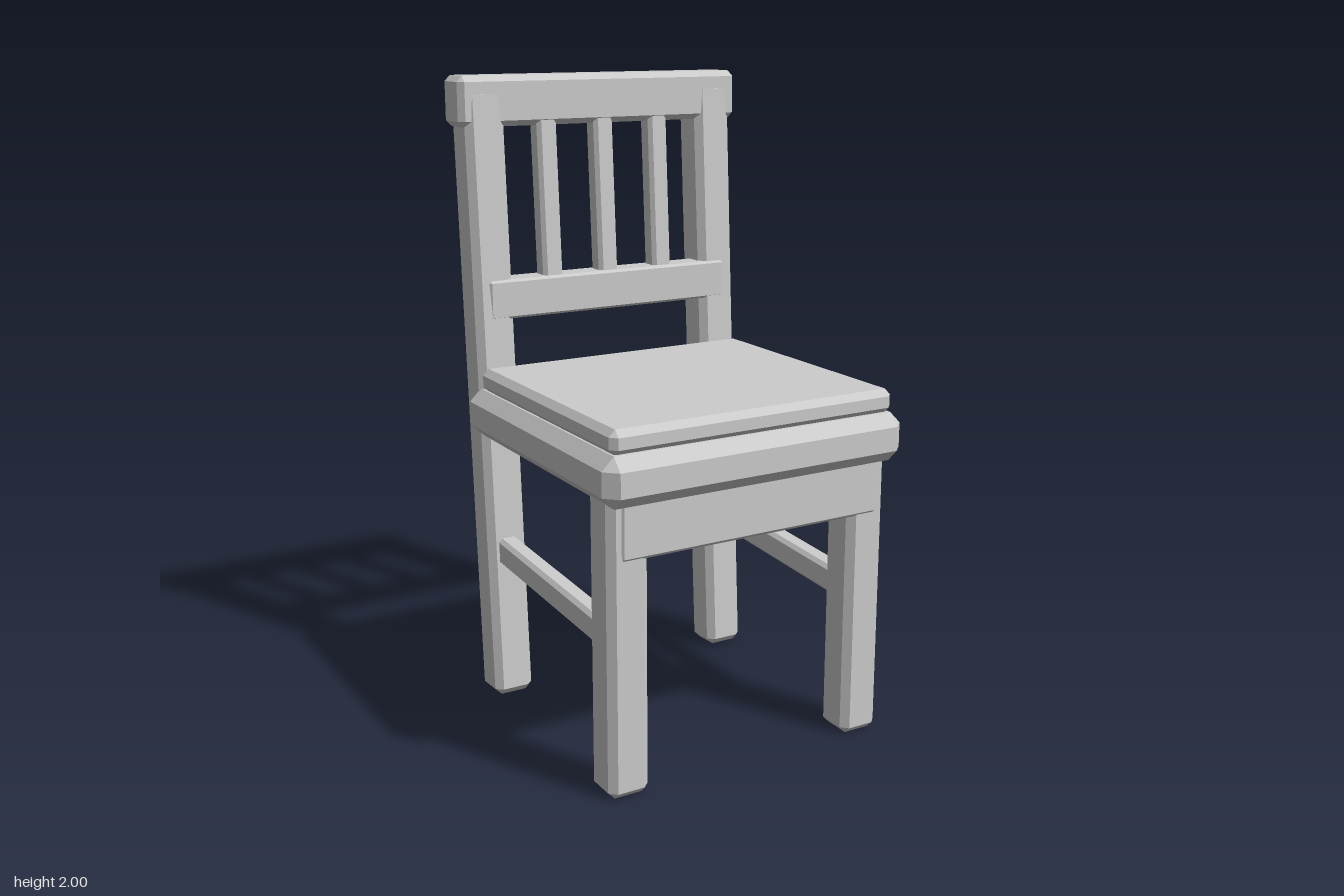
import * as THREE from 'three';
import { ConvexGeometry } from 'three/addons/geometries/ConvexGeometry.js';

const paint = new THREE.MeshStandardMaterial({ color: 0xcccccc });
paint.name = 'plain grey';

// Box with every edge and corner cut off by c
function chamferBox(w, h, d, c) {
  const pts = [];
  for (const sx of [-1, 1]) for (const sy of [-1, 1]) for (const sz of [-1, 1]) {
    const x = w / 2, y = h / 2, z = d / 2;
    pts.push(new THREE.Vector3(sx * x, sy * (y - c), sz * (z - c)));
    pts.push(new THREE.Vector3(sx * (x - c), sy * y, sz * (z - c)));
    pts.push(new THREE.Vector3(sx * (x - c), sy * (y - c), sz * z));
  }
  return new ConvexGeometry(pts);
}

export function createModel() {
  const chair = new THREE.Group();
  chair.name = 'chair';

  // Part given by its [min, max] extents
  function slab(name, [x0, x1], [y0, y1], [z0, z1], c) {
    const mesh = new THREE.Mesh(chamferBox(x1 - x0, y1 - y0, z1 - z0, c), paint);
    mesh.position.set((x0 + x1) / 2, (y0 + y1) / 2, (z0 + z1) / 2);
    mesh.name = name;
    chair.add(mesh);
    return mesh;
  }

  // Seat
  slab('seatFrame', [-0.505, 0.505], [0.885, 1.035], [-0.42, 0.54], 0.038);
  slab('seatPad', [-0.475, 0.475], [1.03, 1.105], [-0.362, 0.508], 0.02);
  slab('frontApron', [-0.44, 0.44], [0.72, 0.9], [0.43, 0.491], 0.01);

  // Legs, back posts and side stretchers
  const lean = -0.057;
  for (const [side, s] of [['left', 1], ['right', -1]]) {
    const xs = [s * 0.41 - 0.065, s * 0.41 + 0.065];
    slab(side + 'FrontLeg', xs, [0, 0.93], [0.355, 0.485], 0.022);
    const post = slab(side + 'BackPost', xs, [0.003, 1.963], [-0.485, -0.355], 0.022);
    post.rotation.x = lean;
    const stretcher = slab(side + 'Stretcher', [s * 0.41 - 0.033, s * 0.41 + 0.033],
      [0.437, 0.525], [-0.36, 0.4], 0.012);
    stretcher.rotation.x = 0.051;
  }

  // Back rest rails
  slab('topRail', [-0.495, 0.495], [1.845, 2], [-0.54, -0.41], 0.018);
  slab('middleRail', [-0.43, 0.43], [1.25, 1.375], [-0.46, -0.37], 0.008);

  // Leaning slats
  for (const x of [-0.2, 0, 0.2]) {
    const slat = slab('backSlat', [x - 0.034, x + 0.034], [1.33, 1.9], [-0.465, -0.398], 0.012);
    slat.rotation.x = lean;
  }
  return chair;
}
